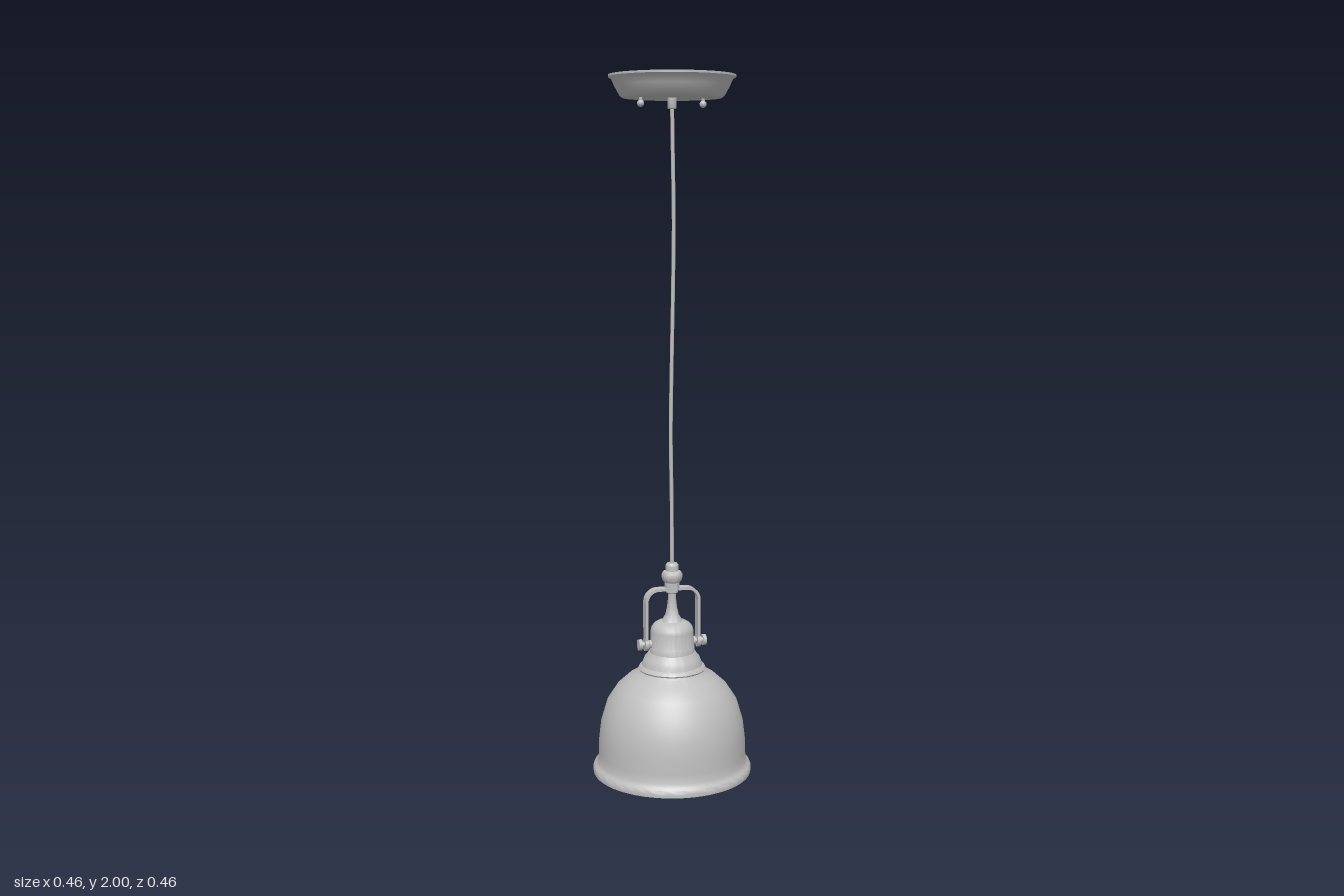
import * as THREE from 'three';
import { toCreasedNormals } from 'three/addons/utils/BufferGeometryUtils.js';

export function createModel() {
  const group = new THREE.Group();
  const grey = new THREE.MeshStandardMaterial({ color: 0xbfbfbf });
  grey.name = 'light grey';

  const add = (name, geometry, x = 0, y = 0, z = 0) => {
    const mesh = new THREE.Mesh(geometry, grey);
    mesh.name = name;
    mesh.position.set(x, y, z);
    group.add(mesh);
    return mesh;
  };
  // Turned part: profile of [radius, height], running upwards on the outside
  const turned = (profile, sides = 64) => toCreasedNormals(
    new THREE.LatheGeometry(profile.map(([r, y]) => new THREE.Vector2(r, y)), sides), 0.6);

  // Ceiling canopy with its cable gland and two screws
  add('canopy', turned([
    [0, 1.938], [0.138, 1.938], [0.145, 1.943], [0.16, 1.97], [0.168, 1.988],
    [0.177, 1.994], [0.177, 2], [0, 2],
  ]));
  add('cableGland', turned([
    [0, 1.908], [0.011, 1.908], [0.013, 1.912], [0.013, 1.94],
  ], 24));
  for (const side of [-1, 1]) {
    add('canopyScrew', new THREE.SphereGeometry(0.01, 20, 14), side * 0.09, 1.922);
    add('canopyScrewShank', new THREE.CylinderGeometry(0.005, 0.005, 0.02, 12), side * 0.09, 1.932);
  }

  // Slightly wavy cable
  const path = new THREE.CatmullRomCurve3([
    [0, 0.6, 0], [-0.001, 0.8, 0], [-0.004, 1.0, 0.001], [-0.001, 1.2, 0],
    [0.003, 1.4, -0.001], [0.005, 1.6, 0], [0.002, 1.8, 0], [0, 1.93, 0],
  ].map((p) => new THREE.Vector3(...p)));
  add('cable', new THREE.TubeGeometry(path, 60, 0.0055, 10));

  // Stepped cord grip above the bracket
  add('cordGrip', turned([
    [0, 0.543], [0.022, 0.543], [0.022, 0.566], [0.028, 0.572], [0.03, 0.58],
    [0.03, 0.59], [0.026, 0.597], [0.019, 0.6], [0.019, 0.616], [0.015, 0.622], [0, 0.622],
  ], 32));

  // Tapered stem between the cap and the bracket
  add('stem', turned([
    [0.035, 0.442], [0.028, 0.455], [0.02, 0.468], [0.015, 0.49],
    [0.012, 0.515], [0.012, 0.532], [0.018, 0.536], [0.018, 0.546],
  ], 32));

  // Bent strap bracket with round corners
  const arch = (shape, half, top, radius, bottom) => {
    shape.lineTo(half, top - radius);
    shape.absarc(half - radius, top - radius, radius, 0, Math.PI / 2, false);
    shape.lineTo(-half + radius, top);
    shape.absarc(-half + radius, top - radius, radius, Math.PI / 2, Math.PI, false);
    shape.lineTo(-half, bottom);
  };
  const strap = new THREE.Shape();
  strap.moveTo(0.083, 0.385);
  arch(strap, 0.083, 0.55, 0.04, 0.385);
  const inner = new THREE.Path();
  inner.moveTo(0.075, 0.385);
  arch(inner, 0.075, 0.542, 0.032, 0.385);
  inner.getPoints(10).reverse().forEach((p) => strap.lineTo(p.x, p.y));
  const strapGeometry = new THREE.ExtrudeGeometry(strap, {
    depth: 0.028, bevelEnabled: false, curveSegments: 10,
  });
  strapGeometry.translate(0, 0, -0.014);
  add('bracket', toCreasedNormals(strapGeometry, 0.6));

  // Pivot bolts: eyelet, shank and thumb knob on either side
  for (const side of [-1, 1]) {
    const disc = (name, radius, length, x) => {
      add(name, new THREE.CylinderGeometry(radius, radius, length, 24), side * x, 0.385)
        .rotation.z = Math.PI / 2;
    };
    disc('bracketEyelet', 0.019, 0.01, 0.079);
    disc('pivotBolt', 0.008, 0.05, 0.077);
    disc('pivotWasher', 0.012, 0.006, 0.067);
    disc('pivotKnob', 0.016, 0.01, 0.097);
  }

  // Domed socket cap
  add('socketCap', turned([
    [0.066, 0.352], [0.065, 0.375], [0.063, 0.378], [0.063, 0.42], [0.06, 0.432],
    [0.052, 0.442], [0.042, 0.448], [0.03, 0.451], [0, 0.452],
  ]));

  // Flared collar and rolled ring above the shade
  add('collar', turned([
    [0.086, 0.305], [0.095, 0.305], [0.098, 0.31], [0.095, 0.316], [0.088, 0.32],
    [0.085, 0.33], [0.08, 0.342], [0.073, 0.35], [0.068, 0.358], [0.06, 0.36],
  ]));

  // Bell shade: inner wall downwards, lip, then outer wall upwards
  add('shade', turned([
    [0, 0.298], [0.09, 0.296], [0.12, 0.278], [0.155, 0.246], [0.182, 0.205],
    [0.2, 0.15], [0.206, 0.1], [0.209, 0.035], [0.224, 0.014], [0.225, 0],
    [0.231, 0], [0.232, 0.012], [0.229, 0.02], [0.222, 0.025], [0.217, 0.036],
    [0.215, 0.06], [0.214, 0.1], [0.208, 0.15], [0.19, 0.21], [0.162, 0.253],
    [0.128, 0.284], [0.1, 0.3], [0.094, 0.308], [0, 0.309],
  ], 80));

  // Globe bulb and its socket inside the shade
  add('bulb', new THREE.SphereGeometry(0.103, 40, 28), 0, 0.13);
  add('bulbSocket', turned([
    [0.062, 0.2], [0.045, 0.235], [0.04, 0.25], [0.04, 0.3],
  ], 32));

  return group;
}
